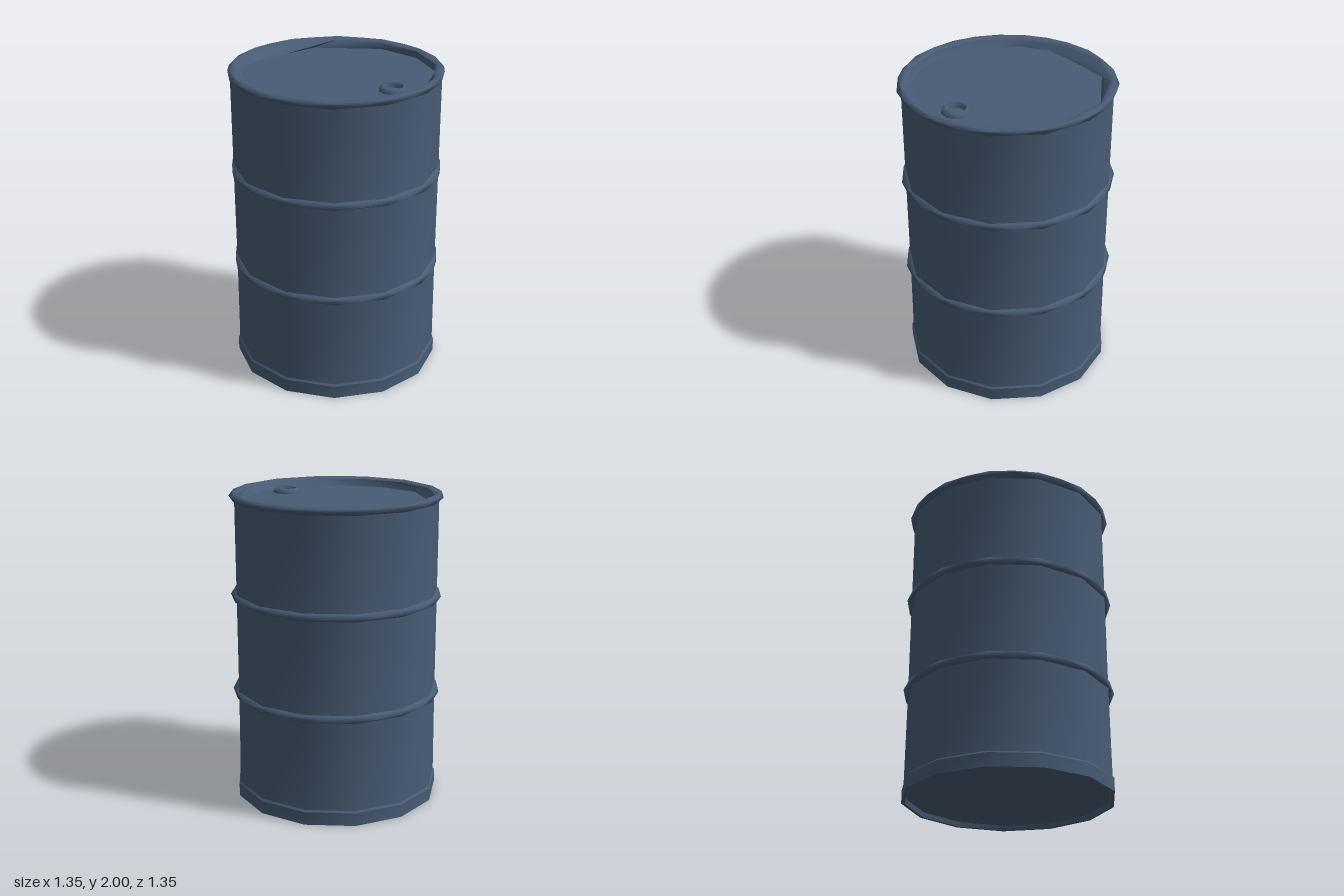
import * as THREE from 'three';

const SIDES = 13;

// One loop of the drum; half = 1 turns it by half a side
function ring(r, y, half = 0) {
  const pts = [];
  for (let i = 0; i < SIDES; i++) {
    const a = ((i + half * 0.5) / SIDES) * Math.PI * 2;
    pts.push([r * Math.sin(a), y, -r * Math.cos(a)]);
  }
  pts.half = half;
  return pts;
}

// Smooth skin across a list of loops
function loft(loops) {
  const pos = loops.flat(2);
  const idx = [];
  for (let k = 0; k < loops.length - 1; k++) {
    const flip = loops[k].half > loops[k + 1].half;
    for (let i = 0; i < SIDES; i++) {
      const j = (i + 1) % SIDES;
      const l0 = k * SIDES + i, l1 = k * SIDES + j;
      const u0 = l0 + SIDES, u1 = l1 + SIDES;
      if (flip) idx.push(l0, u0, u1, l0, u1, l1);
      else idx.push(l1, l0, u0, l1, u0, u1);
    }
  }
  const geo = new THREE.BufferGeometry();
  geo.setAttribute('position', new THREE.Float32BufferAttribute(pos, 3));
  geo.setIndex(idx);
  geo.computeVertexNormals();
  return geo;
}

export function createModel() {
  const group = new THREE.Group();
  const steel = new THREE.MeshStandardMaterial({ color: 0x485c75 });
  steel.name = 'blue steel';

  const add = (name, geo) => {
    const mesh = new THREE.Mesh(geo, steel);
    mesh.name = name;
    group.add(mesh);
    return mesh;
  };
  const R = 0.656;

  // Recessed base and bottom skirt
  add('basePlate', loft([ring(0, 0.03), ring(0.64, 0.03)]));
  add('baseInnerWall', loft([ring(0.64, 0.03), ring(0.648, 0)]));
  add('baseEdge', loft([ring(0.648, 0), ring(0.67, 0)]));
  add('skirt', loft([ring(0.67, 0), ring(0.67, 0.085)]));
  add('skirtLip', loft([ring(0.67, 0.085), ring(0.66, 0.097)]));

  // Three wall sections
  add('lowerWall', loft([ring(0.66, 0.097), ring(R, 0.675)]));
  add('middleWall', loft([ring(R, 0.725), ring(R, 1.315)]));
  add('upperWall', loft([ring(R, 1.365), ring(R, 1.95)]));

  // Two rolling hoops, their crests turned by half a side
  for (const [name, y] of [['lowerHoop', 0.7], ['upperHoop', 1.34]]) {
    add(name, loft([
      ring(R, y - 0.025), ring(0.666, y - 0.02), ring(0.678, y, 1),
      ring(0.666, y + 0.02), ring(R, y + 0.025),
    ]));
  }

  // Rolled top rim
  add('topRim', loft([
    ring(R, 1.95), ring(0.678, 1.973, 1), ring(0.67, 1.99),
    ring(0.65, 2.0, 1), ring(0.625, 1.985, 1),
  ]));

  // Uneven lid outline, joined to the rim by a sloping wall
  const lidEdge = [
    [0.15, -0.61], [0.41, -0.47], [0.58, -0.13], [0.58, 0.1], [0.41, 0.45],
    [0.15, 0.59], [-0.15, 0.59], [-0.36, 0.44], [-0.47, 0.37], [-0.57, 0.17],
    [-0.54, -0.1], [-0.5, -0.33], [-0.15, -0.61],
  ].map(([x, z]) => [x, 1.94, z]);
  lidEdge.half = 1;
  add('rimInnerWall', loft([ring(0.625, 1.985, 1), lidEdge]));
  add('lid', loft([lidEdge, ring(0, 1.94, 1)]));

  // Filler bung: a small raised collar on the lid
  const bung = add('bungCollar', new THREE.LatheGeometry([
    [0.088, 1.938], [0.088, 1.953], [0.072, 1.972], [0.06, 1.965], [0.055, 1.938],
  ].map(([x, y]) => new THREE.Vector2(x, y)), 8));
  bung.position.set(0.45, 0, -0.01);
  bung.rotation.y = 0.2;

  return group;
}
